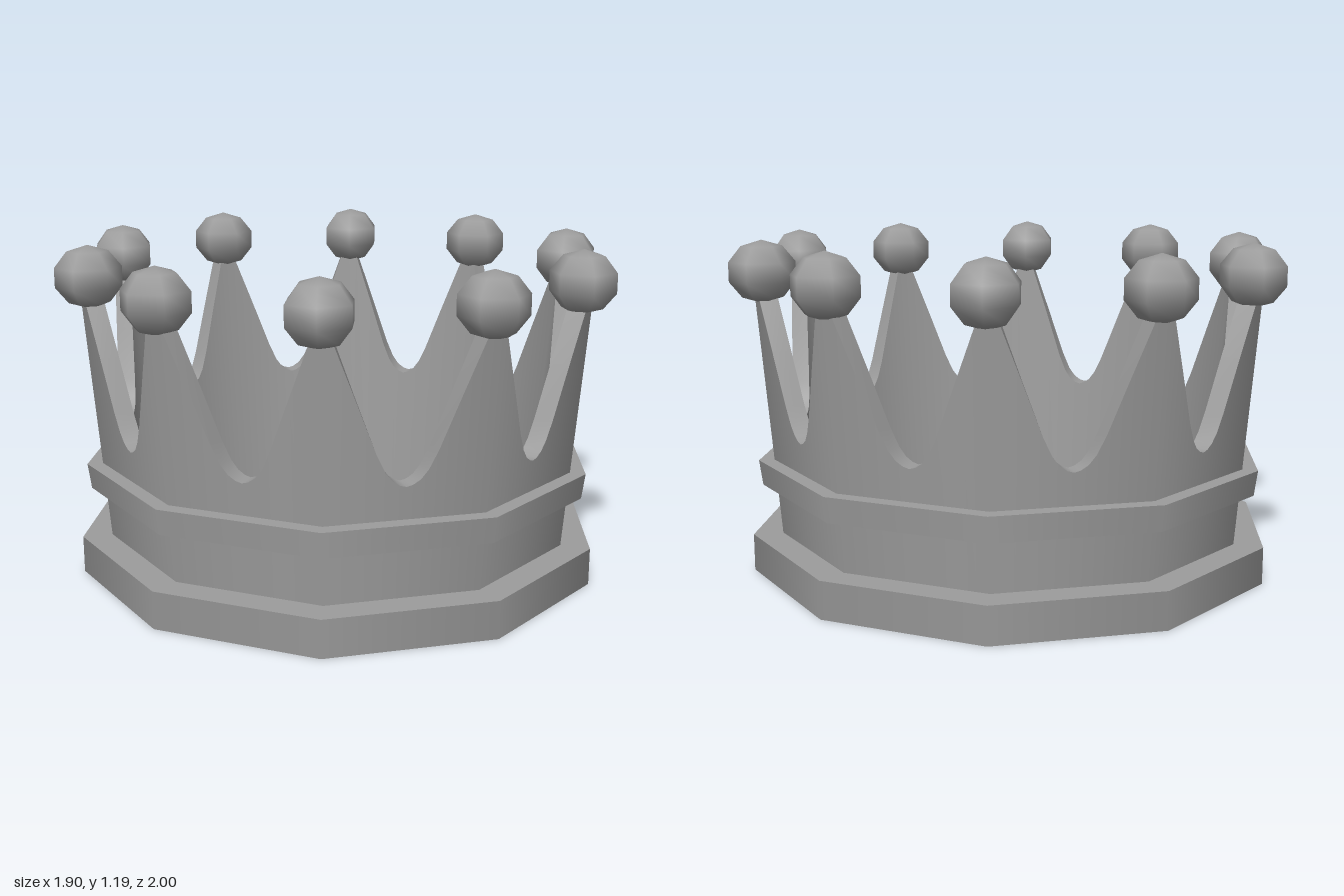
import * as THREE from 'three';
import { toCreasedNormals } from 'three/addons/utils/BufferGeometryUtils.js';

const SIDES = 10;
const X_STRETCH = 1.012;
const outerRadius = (y) => 0.83 + 0.08 * y;
const innerRadius = (y) => 0.755 + 0.09 * y;

// Spike outline: [share of the half side away from the spike's centre, height]
const SPIKE = [[0, 1], [0.12, 1], [0.38, 0.81], [0.63, 0.63], [0.74, 0.568], [0.83, 0.537], [0.92, 0.521], [1, 0.515]];

// Point on a ten-sided outline; t counts sides, starting at the front corner
function onOutline(t, radius, y) {
  const corner = (k) => {
    const a = (k * Math.PI * 2) / SIDES;
    return new THREE.Vector3(Math.sin(a) * radius * X_STRETCH, y, Math.cos(a) * radius);
  };
  const k = Math.floor(t);
  return corner(k).lerp(corner(k + 1), t - k);
}

// Closed ring through four-point sections: outer bottom, outer top, inner top, inner bottom
function ring(sections) {
  const positions = [];
  sections.forEach((s, i) => {
    const n = sections[(i + 1) % sections.length];
    for (let j = 0; j < 4; j++) {
      const m = (j + 1) % 4;
      for (const p of [s[j], n[j], s[m], n[j], n[m], s[m]]) positions.push(p.x, p.y, p.z);
    }
  });
  const flat = new THREE.BufferGeometry();
  flat.setAttribute('position', new THREE.Float32BufferAttribute(positions, 3));
  const geometry = toCreasedNormals(flat, 0.8);

  // Outer and inner faces shade as one smooth round
  const { position, normal } = geometry.attributes;
  const v = new THREE.Vector3();
  for (let i = 0; i < position.count; i++) {
    const face = Math.floor(i / 6) % 4;
    if (face % 2) continue;
    v.fromBufferAttribute(position, i).setY(0).normalize().setY(-0.08).normalize();
    if (face === 2) v.negate();
    normal.setXYZ(i, v.x, v.y, v.z);
  }
  return geometry;
}

// Flared wall whose upper rim rises to a spike at every corner
function spikedWall() {
  const sections = [];
  const addSection = (t, top) => sections.push([
    onOutline(t, outerRadius(0), 0),
    onOutline(t, outerRadius(top), top),
    onOutline(t, innerRadius(top), top),
    onOutline(t, innerRadius(0), 0),
  ]);
  for (let k = 0; k < SIDES; k++) {
    SPIKE.forEach(([f, y]) => addSection(k + f / 2, y));
    SPIKE.slice(1, -1).reverse().forEach(([f, y]) => addSection(k + 1 - f / 2, y));
  }
  return ring(sections);
}

// Ten-sided band around the wall
function band(y0, y1, r0, r1) {
  return ring(Array.from({ length: SIDES }, (_, k) => [
    onOutline(k, r0, y0),
    onOutline(k, r1, y1),
    onOutline(k, outerRadius(y1) - 0.002, y1),
    onOutline(k, outerRadius(y0) - 0.002, y0),
  ]));
}

export function createModel() {
  const model = new THREE.Group();
  model.name = 'crown';
  const material = new THREE.MeshStandardMaterial({ color: 0x9c9c9c });
  const add = (name, geometry) => {
    const mesh = new THREE.Mesh(geometry, material);
    mesh.name = name;
    model.add(mesh);
    return mesh;
  };

  // Wall and its two bands
  add('spikedWall', spikedWall());
  add('baseBand', band(0, 0.132, 0.945, 0.945));
  add('middleBand', band(0.315, 0.405, 0.905, 0.917));

  // A six-sided ball on every spike, one corner pointing outward
  const ball = new THREE.SphereGeometry(0.121, 6, 5);
  for (let k = 0; k < SIDES; k++) {
    const a = (k * Math.PI * 2) / SIDES;
    const mesh = add('spikeBall', ball);
    mesh.position.set(Math.sin(a) * 0.885, 1.078, Math.cos(a) * 0.885);
    mesh.rotation.y = a + Math.PI / 2;
    mesh.scale.y = 0.91;
  }
  return model;
}
